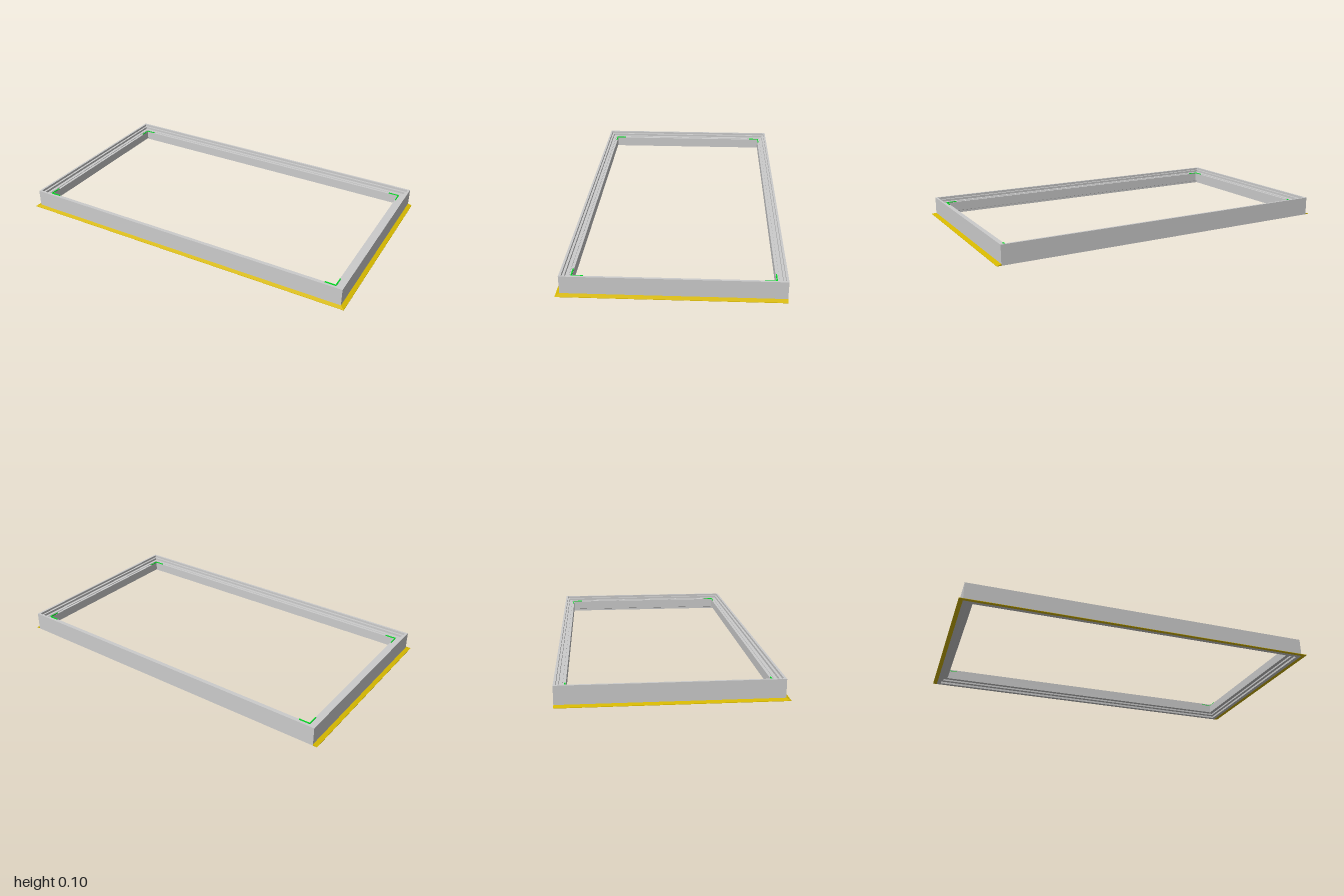
import * as THREE from 'three';

const grey = new THREE.MeshStandardMaterial({ color: 0xcccccc, flatShading: true, side: THREE.DoubleSide });
const yellow = new THREE.MeshStandardMaterial({ color: 0xd6b800, flatShading: true, side: THREE.DoubleSide });
const green = new THREE.MeshStandardMaterial({ color: 0x00dd22 });

// Outer rectangle of the frame
const X = 0.977, ZF = 0.55, ZB = -0.57;

// Join a list of equal cross-section rings into a flat-shaded surface
function skin(rings, closed) {
  const pos = [];
  const n = rings[0].length;
  const spans = closed ? rings.length : rings.length - 1;
  for (let i = 0; i < spans; i++) {
    const a = rings[i], b = rings[(i + 1) % rings.length];
    for (let j = 0; j < n; j++) {
      const k = (j + 1) % n;
      pos.push(...a[j], ...b[j], ...b[k], ...a[j], ...b[k], ...a[k]);
    }
  }
  if (!closed) {
    for (const [r, flip] of [[rings[0], false], [rings[rings.length - 1], true]]) {
      for (let j = 1; j < n - 1; j++) {
        pos.push(...r[0], ...r[flip ? j + 1 : j], ...r[flip ? j : j + 1]);
      }
    }
  }
  const g = new THREE.BufferGeometry();
  g.setAttribute('position', new THREE.Float32BufferAttribute(pos, 3));
  g.computeVertexNormals();
  return g;
}

function add(group, name, geometry, material) {
  const mesh = new THREE.Mesh(geometry, material);
  mesh.name = name;
  group.add(mesh);
  return mesh;
}

export function createModel() {
  const model = new THREE.Group();
  model.name = 'rectangularFrame';

  // Mitred frame: profile as [distance inward, height]
  const profile = [
    [0, 0], [0.022, 0], [0.022, 0.012], [0.034, 0.016], [0.034, 0.026], [0.057, 0.026],
    [0.057, 0.076], [0.042, 0.076], [0.042, 0.079], [0.024, 0.079],
    [0.024, 0.092], [0.012, 0.092], [0.012, 0.105], [0, 0.105],
  ];
  const corners = [[-1, 1], [1, 1], [1, -1], [-1, -1]];
  const frameRings = corners.map(([sx, sz]) =>
    profile.map(([d, y]) => [sx * (X - d), y, (sz > 0 ? ZF : ZB) - sz * d]));
  add(model, 'frame', skin(frameRings, true), grey);

  // Tapered flange around the front and both sides, cut square at the back
  const lip = [[0, 0], [0.023, 0], [0.023, 0.002], [0, 0.009]];
  const lipPath = [[1, ZB, 0], [1, ZF, 1], [-1, ZF, 1], [-1, ZB, 0]];
  const lipRings = lipPath.map(([sx, z, out]) =>
    lip.map(([d, y]) => [sx * (X + d), y, z + out * Math.min(d, 0.02)]));
  add(model, 'bottomFlange', skin(lipRings, false), yellow);

  // Small angle brackets lying on the inner ledge
  for (const [sx, sz] of corners) {
    const bracket = new THREE.Group();
    bracket.name = 'cornerBracket';
    const x = sx * 0.924, z = sz > 0 ? 0.497 : -0.517;
    add(bracket, 'bracketLongArm', new THREE.BoxGeometry(0.06, 0.004, 0.006), green)
      .position.set(x - sx * 0.03, 0.078, z);
    add(bracket, 'bracketShortArm', new THREE.BoxGeometry(0.006, 0.004, 0.06), green)
      .position.set(x, 0.078, z - sz * 0.03);
    model.add(bracket);
  }

  return model;
}
